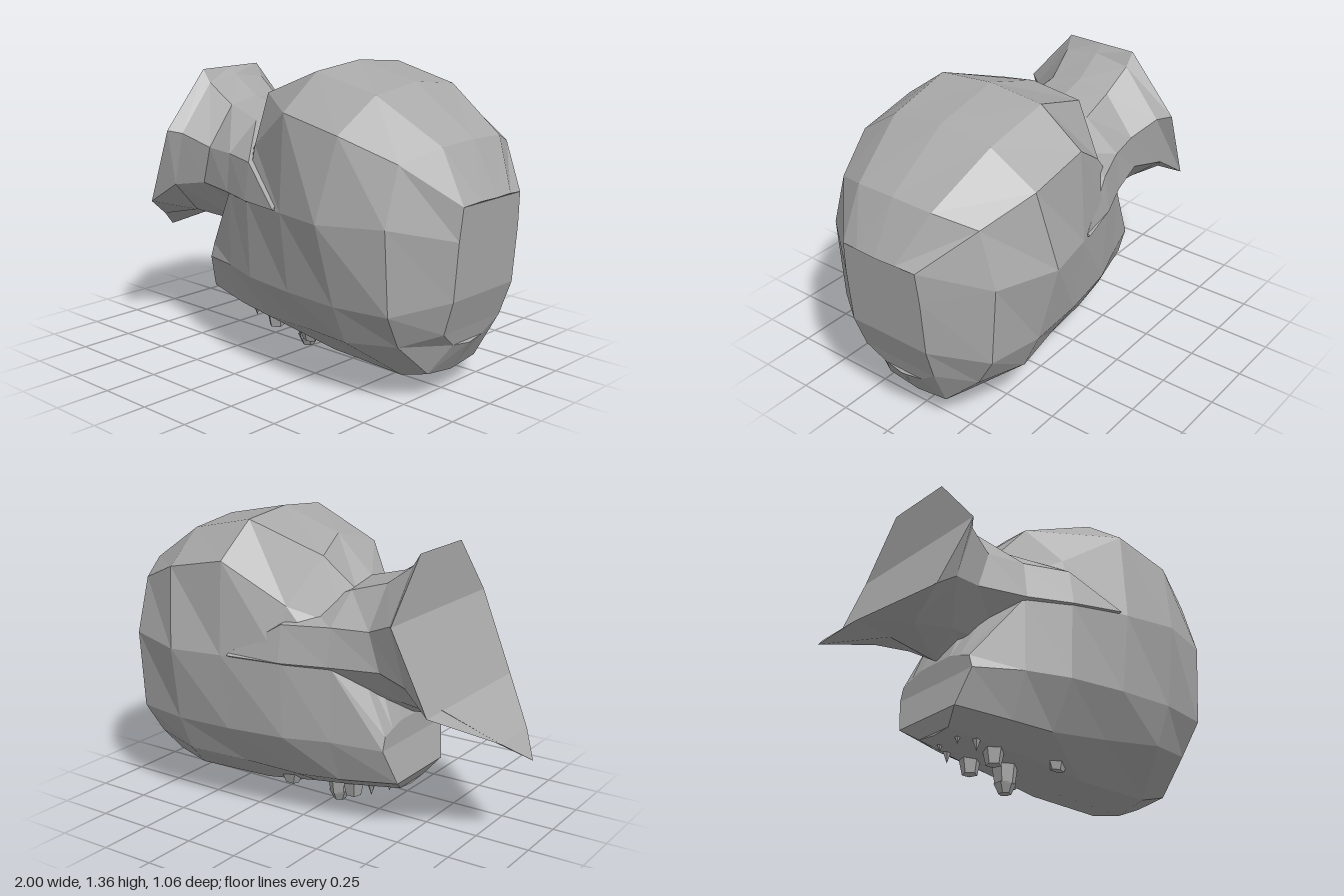
import * as THREE from 'three';

// Half a cross-section at x, listed from top to bottom as [y, z, xShift],
// mirrored in z into a closed ring.
function ring(x, half) {
  const left = half.map(([y, z, dx = 0]) => [x + dx, y, z]);
  const right = left.slice(1, -1).reverse().map(([px, y, z]) => [px, y, -z]);
  return left.concat(right);
}

// Skin over mirrored rings running towards +x, closed at both ends by strips.
function loft(rings) {
  const n = rings[0].length;
  const index = [];
  const tri = (a, b, c) => {
    if (a !== b && b !== c && c !== a) index.push(a, b, c);
  };
  for (let i = 0; i < rings.length - 1; i++) {
    for (let j = 0; j < n; j++) {
      const k = (j + 1) % n;
      const a = i * n + j, b = i * n + k;
      tri(a, b, b + n);
      tri(a, b + n, a + n);
    }
  }
  const last = (rings.length - 1) * n;
  for (let j = 0; j < n / 2; j++) {
    const k = j + 1, mj = (n - j) % n, mk = n - k;
    tri(last + j, last + k, last + mk);
    tri(last + j, last + mk, last + mj);
    tri(j, mk, k);
    tri(j, mj, mk);
  }
  const geo = new THREE.BufferGeometry();
  geo.setAttribute('position', new THREE.Float32BufferAttribute(rings.flat(2), 3));
  geo.setIndex(index);
  const flat = geo.toNonIndexed();
  flat.computeVertexNormals();
  return flat;
}

export function createModel() {
  const group = new THREE.Group();
  const gray = new THREE.MeshStandardMaterial({ color: 0xa8a8a8 });
  gray.name = 'stone gray';
  gray.flatShading = true;

  const add = (name, geo, x = 0, y = 0, z = 0) => {
    const mesh = new THREE.Mesh(geo, gray);
    mesh.name = name;
    mesh.position.set(x, y, z);
    group.add(mesh);
    return mesh;
  };

  // Large faceted bulb with the jaw at its -x end
  add('bulb', loft([
    ring(-0.45, [[0.5, 0, 0.03], [0.5, 0.1, 0.03], [0.48, 0.17, 0.03], [0.46, 0.23, 0.03],
      [0.4, 0.25, 0.03], [0.24, 0.19, -0.01], [0.18, 0.1, 0.03], [0.17, 0, 0.03]]),
    ring(-0.2, [[1.09, 0], [1.05, 0.12], [0.9, 0.2], [0.76, 0.33],
      [0.42, 0.33], [0.22, 0.25], [0.15, 0.12], [0.14, 0]]),
    ring(0, [[1.26, 0, -0.02], [1.2, 0.2, -0.08], [1, 0.36], [0.77, 0.415],
      [0.42, 0.4], [0.21, 0.28], [0.13, 0.14], [0.11, 0]]),
    ring(0.27, [[1.355, 0], [1.33, 0.26], [1.18, 0.46], [0.77, 0.485],
      [0.42, 0.44], [0.23, 0.32], [0.09, 0.15], [0.065, 0]]),
    ring(0.54, [[1.29, 0, 0.04], [1.26, 0.25, 0.04], [1.12, 0.455, 0.02], [0.77, 0.53, -0.03],
      [0.42, 0.455], [0.25, 0.38], [0.08, 0.16, 0.12], [0.045, 0, 0.13]]),
    ring(0.79, [[1.09, 0, 0.09], [1.08, 0.19, 0.08], [1.025, 0.36], [0.78, 0.435],
      [0.42, 0.41], [0.27, 0.32, -0.02], [0.12, 0.16, 0.01], [0.1, 0, 0.01]]),
    ring(0.95, [[0.87, 0, 0.05], [0.87, 0.1, 0.045], [0.86, 0.19, 0.03], [0.72, 0.2, 0.02],
      [0.47, 0.2, 0], [0.32, 0.19, -0.05], [0.25, 0.1, -0.07], [0.24, 0, -0.06]]),
  ]));

  // Neck: a sloping cut face at -x, tapering into a wedge on the bulb's sides
  add('flaredNeck', loft([
    ring(-0.54, [[1.26, 0], [1.26, 0.17], [1, 0.395], [0.64, 0.37, -0.16],
      [0.5, 0.12, -0.37], [0.41, 0, -0.46]]),
    ring(-0.5, [[1.225, 0], [1.2, 0.165], [0.985, 0.34], [0.735, 0.33, -0.07],
      [0.57, 0.14, -0.14], [0.55, 0, -0.16]]),
    ring(-0.37, [[1.14, 0], [1.11, 0.15], [0.93, 0.29], [0.76, 0.285, -0.05],
      [0.6, 0.15, -0.08], [0.51, 0, -0.06]]),
    ring(-0.2, [[1.095, 0], [1.06, 0.16], [0.93, 0.325], [0.76, 0.345],
      [0.6, 0.15], [0.55, 0]]),
    ring(0, [[1, 0], [0.98, 0.2], [0.93, 0.4], [0.765, 0.425], [0.6, 0.15], [0.55, 0]]),
    ring(0.23, [[0.9, 0], [0.88, 0.2], [0.785, 0.475], [0.775, 0.487], [0.65, 0.15], [0.6, 0]]),
  ]));

  // Small knob under the bulb
  const knob = add('underKnob', new THREE.CylinderGeometry(0.075, 0.05, 0.16, 6), -0.03, 0.12, 0);
  knob.scale.x = 0.85;
  add('knobTip', new THREE.CylinderGeometry(0.05, 0.028, 0.045, 6), -0.03, 0.0225, 0);

  // Paired folds and short spikes around the knob
  for (const side of [-1, 1]) {
    const name = side > 0 ? 'front' : 'back';
    add(name + 'Lobe', new THREE.CylinderGeometry(0.06, 0.035, 0.12, 5), -0.16, 0.14, side * 0.08);
    add(name + 'OuterSpike', new THREE.ConeGeometry(0.04, 0.11, 5).rotateX(Math.PI),
      -0.27, 0.165, side * 0.1);
    add(name + 'InnerSpike', new THREE.ConeGeometry(0.04, 0.1, 5).rotateX(Math.PI),
      -0.34, 0.185, side * 0.06);
    const fold = add(name + 'Fold', new THREE.CylinderGeometry(0.045, 0.02, 0.09, 5),
      0.13, 0.145, side * 0.16);
    fold.scale.x = 1.8;
  }
  return group;
}
